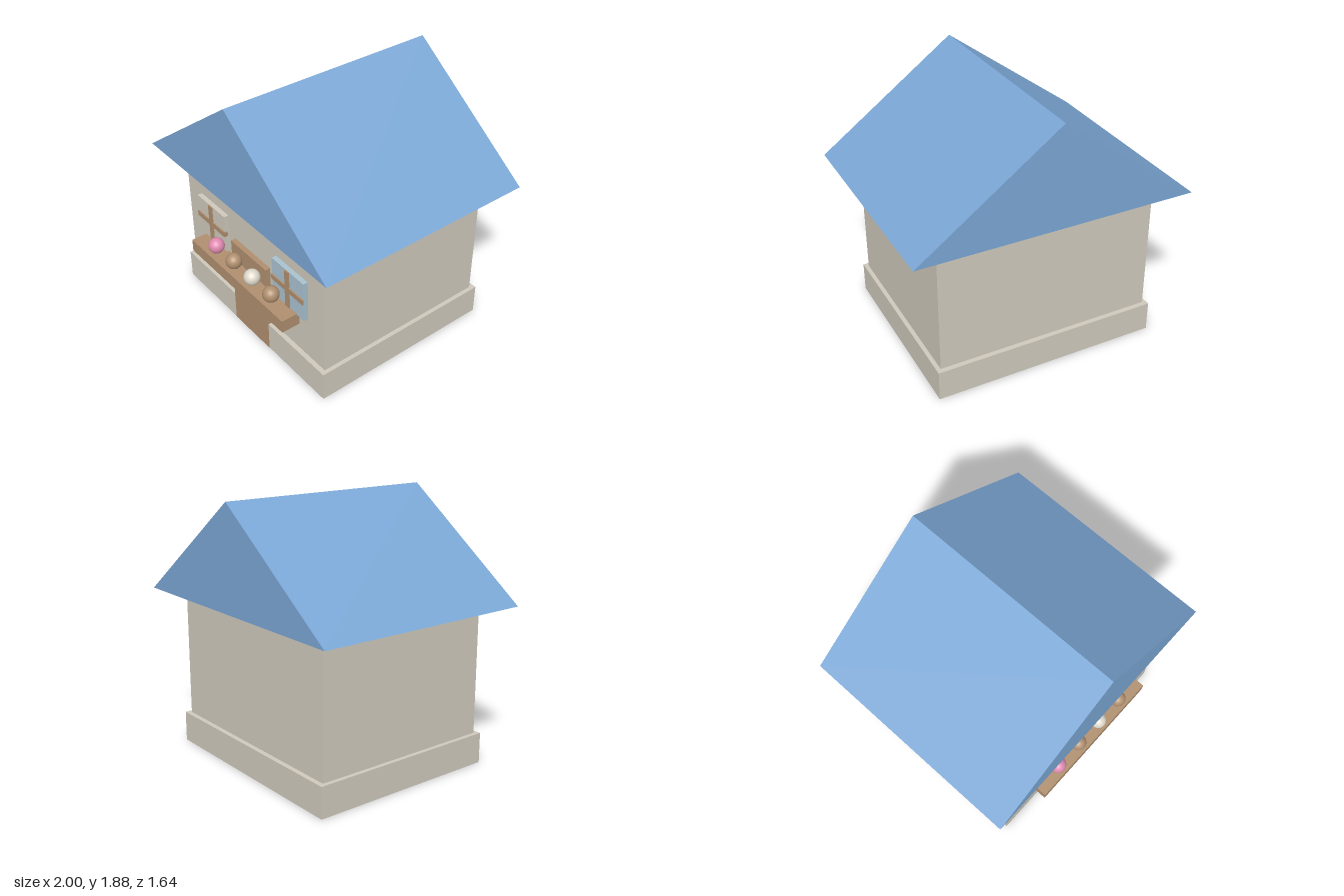
import * as THREE from 'three';

const material = (name, color) => {
  const m = new THREE.MeshStandardMaterial({ color });
  m.name = name;
  return m;
};

export function createModel() {
  const house = new THREE.Group();
  house.name = 'house';

  const plaster = material('plaster', 0xd0cabd);
  const roofBlue = material('roof blue', 0x7ba7d5);
  const wood = material('wood', 0xb08f6f);
  const glass = material('glass', 0xaac2d0);
  const pink = material('pink', 0xe08ab0);
  const cream = material('cream', 0xe0dacd);

  const add = (name, geometry, mat, parent = house) => {
    const mesh = new THREE.Mesh(geometry, mat);
    mesh.name = name;
    parent.add(mesh);
    return mesh;
  };
  // Box given by its low and high limits on each axis
  const box = (name, mat, [x0, x1], [y0, y1], [z0, z1], parent) => {
    const mesh = add(name, new THREE.BoxGeometry(x1 - x0, y1 - y0, z1 - z0), mat, parent);
    mesh.position.set((x0 + x1) / 2, (y0 + y1) / 2, (z0 + z1) / 2);
    return mesh;
  };

  // Foundation and walls
  box('foundation', plaster, [-0.82, 0.82], [0, 0.22], [-0.705, 0.7]);
  box('walls', plaster, [-0.79, 0.79], [0.22, 1.15], [-0.67, 0.665]);

  // Gabled roof, a solid prism with overhanging eaves
  const gable = new THREE.Shape([
    new THREE.Vector2(-1, 1.15),
    new THREE.Vector2(1, 1.15),
    new THREE.Vector2(0, 1.88),
  ]);
  const roof = add('roof', new THREE.ExtrudeGeometry(gable, { depth: 1.635, bevelEnabled: false }), roofBlue);
  roof.position.z = -0.82;

  // Door, just proud of the foundation
  box('door', wood, [-0.205, 0.205], [0, 0.705], [0.64, 0.703]);

  // Windows with crossed bars: plain pane on the right, glazed on the left
  for (const [side, pane] of [[-1, plaster], [1, glass]]) {
    const window = new THREE.Group();
    window.name = side < 0 ? 'rightWindow' : 'leftWindow';
    window.position.x = side * 0.45;
    house.add(window);
    box('pane', pane, [-0.17, 0.17], [0.55, 0.86], [0.65, 0.7], window);
    box('uprightBar', wood, [-0.02, 0.02], [0.55, 0.86], [0.68, 0.71], window);
    box('crossBar', wood, [-0.17, 0.17], [0.69, 0.73], [0.68, 0.709], window);
  }

  // Counter with a row of balls
  box('counter', wood, [-0.545, 0.545], [0.465, 0.56], [0.68, 0.82]);
  [pink, wood, cream, wood].forEach((mat, i) => {
    const ball = add('ball', new THREE.SphereGeometry(0.058, 24, 16), mat);
    ball.position.set(-0.328 + i * 0.2187, 0.61, 0.75);
  });

  return house;
}
